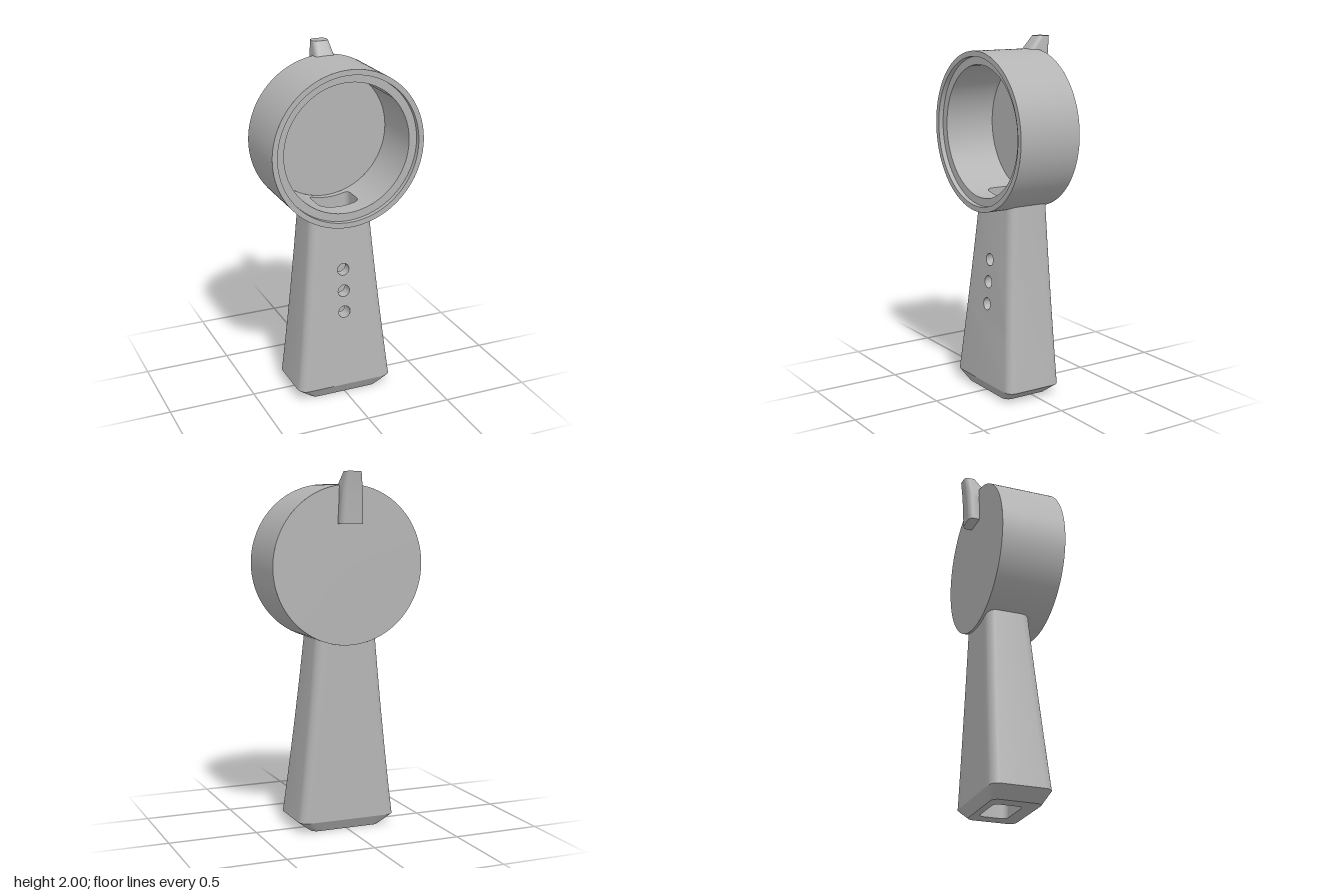
import * as THREE from 'three';
import { mergeGeometries, toCreasedNormals } from 'three/addons/utils/BufferGeometryUtils.js';

const CY = 1.49, R_OUT = 0.44, R_IN = 0.365;          // drum centre height and radii
const Z_BACK = -0.145, Z_FLOOR = -0.105, Z_STEP = 0.2, Z_FRONT = 0.228;
const DUCT = { hw: 0.12, z0: -0.07, z1: 0.09, r: 0.03 }; // hollow running up the handle
const HOLES = [0.51, 0.637, 0.765], HOLE_R = 0.035;

const V = (x, y, z) => new THREE.Vector3(x, y, z);

// Surface through rows of points
function grid(rows) {
  const n = rows[0].length, idx = [];
  for (let k = 0; k < rows.length - 1; k++)
    for (let i = 0; i < n - 1; i++) {
      const a = k * n + i, b = a + 1, c = a + n, d = c + 1;
      idx.push(a, c, b, b, c, d);
    }
  const g = new THREE.BufferGeometry().setFromPoints(rows.flat());
  g.setIndex(idx);
  return g;
}

// Rounded rectangle in x/z; starts and ends at the two front corners
function ring(hw, z0, z1, r, yAt) {
  const pts = [];
  const corners = [[-hw + r, z1 - r], [-hw + r, z0 + r], [hw - r, z0 + r], [hw - r, z1 - r]];
  corners.forEach(([cx, cz], q) => {
    for (let i = 0; i <= 6; i++) {
      const t = (q + 1 + i / 6) * Math.PI / 2;
      pts.push([cx + r * Math.cos(t), cz + r * Math.sin(t)]);
    }
    if (q === 1) for (let i = 1; i < 8; i++) pts.push([(hw - r) * (i / 4 - 1), z0]);
  });
  return pts.map(([x, z]) => V(x, yAt(x), z));
}
const closed = (p) => [...p, p[0].clone()];

// Flat cap over a ring, in the x/z plane
function cap(points, y, up, holePoints) {
  const s = new THREE.Shape(points.map((p) => new THREE.Vector2(p.x, up ? -p.z : p.z)));
  if (holePoints) s.holes.push(new THREE.Path(holePoints.map((p) => new THREE.Vector2(p.x, p.z))));
  return new THREE.ShapeGeometry(s).rotateX(up ? -Math.PI / 2 : Math.PI / 2).translate(0, y, 0);
}

// Upright plate with the three round holes, laid on the surface z = zAt(y)
function plate(outline, zAt) {
  const s = new THREE.Shape(outline.map(([x, y]) => new THREE.Vector2(x, y)));
  for (const y of HOLES) s.holes.push(new THREE.Path().absarc(0, y, HOLE_R, 0, Math.PI * 2, true));
  const g = new THREE.ShapeGeometry(s, 24), p = g.attributes.position;
  for (let i = 0; i < p.count; i++) p.setZ(i, zAt(p.getY(i)));
  return g;
}

function merged(parts, crease = 0.5) {
  const list = parts.map((g) => {
    const f = g.index ? g.toNonIndexed() : g;
    f.deleteAttribute('uv');
    f.deleteAttribute('normal');
    return f;
  });
  return toCreasedNormals(mergeGeometries(list), crease);
}

// Drum wall of radius R, pierced at the bottom by the duct
function drumWall(R, zA, zB) {
  const { hw, z0, z1, r } = DUCT, aH = Math.asin(hw / R), mid = (z0 + z1) / 2;
  const cols = [];
  for (let j = 0; j <= 24; j++) {
    const x = -hw * Math.cos(Math.PI * j / 24);
    const dx = Math.max(0, Math.abs(x) - (hw - r));
    const e = r - Math.sqrt(Math.max(0, r * r - dx * dx));
    cols.push([Math.asin(x / R), z0 + e, z1 - e]);
  }
  for (let j = 0; j <= 120; j++)
    cols.push([aH + (2 * Math.PI - 2 * aH) * j / 120, mid, mid]);
  const row = (f) => cols.map((c) => V(R * Math.sin(c[0]), CY - R * Math.cos(c[0]), f(c)));
  return [
    grid([row(() => zB), row((c) => c[2])]),
    grid([row((c) => c[1]), row(() => zA)]),
  ];
}

export function createModel() {
  const model = new THREE.Group();
  const grey = new THREE.MeshStandardMaterial({ color: 0xb4b4b4, side: THREE.DoubleSide });
  grey.name = 'plain grey';
  const add = (name, geo) => {
    const m = new THREE.Mesh(geo, grey);
    m.name = name;
    model.add(m);
  };
  const lathe = (pts) => new THREE.LatheGeometry(pts.map(([r, z]) => new THREE.Vector2(r, z)), 120)
    .rotateX(Math.PI / 2).translate(0, CY, 0);

  // Drum: outer and inner walls, stepped front rim, floor and back
  add('drumOuterWall', merged(drumWall(R_OUT, Z_BACK, Z_FRONT)));
  add('drumInnerWall', merged(drumWall(R_IN, Z_FLOOR, Z_STEP)));
  add('drumRim', merged([lathe([[R_IN, Z_STEP], [0.41, Z_STEP], [0.41, Z_FRONT], [R_OUT, Z_FRONT]])]));
  add('drumFloor', new THREE.CircleGeometry(R_IN, 120).translate(0, CY, Z_FLOOR));
  add('drumBack', new THREE.CircleGeometry(R_OUT, 120).rotateY(Math.PI).translate(0, CY, Z_BACK));

  // Handle shell: flared sides, sloping front with holes, chamfered foot
  const Y0 = 0.06, Y1 = 1.1, RC = 0.05, STEPS = 12;
  const frontZ = (y) => 0.2 - (y - Y0) * 0.078;
  const halfW = (t) => 0.285 - 0.125 * t + 0.02 * t * t;
  const rows = [], left = [], right = [];
  for (let k = 0; k <= STEPS; k++) {
    const t = k / STEPS, y = Y0 + (Y1 - Y0) * t, hw = halfW(t);
    rows.push(ring(hw, -0.145 + 0.015 * t, frontZ(y), RC, () => y));
    left.unshift([-hw + RC, y]);
    right.push([hw - RC, y]);
  }
  const foot = ring(0.206, -0.11, 0.17, 0.04, () => 0);
  const duct0 = ring(DUCT.hw, DUCT.z0, DUCT.z1, DUCT.r, () => 0);
  add('handle', merged([
    grid(rows),
    plate([...right, ...left], frontZ),
    grid([closed(foot), closed(rows[0])]),
    cap(foot, 0, false, duct0),
  ]));

  // Hollow inside the handle, open at the foot and into the drum
  const meetY = (x) => CY - Math.sqrt(R_IN * R_IN - x * x);
  const topEdge = [], fx = DUCT.hw - DUCT.r;
  for (let i = 0; i <= 8; i++) {
    const x = fx * (1 - i / 4);
    topEdge.push([x, meetY(x)]);
  }
  const inside = (g) => {
    const ix = g.index.array;
    for (let i = 0; i < ix.length; i += 3) [ix[i], ix[i + 1]] = [ix[i + 1], ix[i]];
    return g;
  };
  add('handleHollow', merged([
    inside(grid([duct0, ring(DUCT.hw, DUCT.z0, DUCT.z1, DUCT.r, meetY)])),
    inside(plate([[-fx, 0], [fx, 0], ...topEdge], () => DUCT.z1)),
  ]));

  // Bores of the three front holes
  for (const y of HOLES) {
    const outer = [], inner = [];
    for (let i = 0; i <= 24; i++) {
      const t = i / 24 * Math.PI * 2;
      const px = HOLE_R * Math.cos(t), py = y + HOLE_R * Math.sin(t);
      outer.push(V(px, py, frontZ(py)));
      inner.push(V(px, py, DUCT.z1));
    }
    add('frontHole', merged([grid([outer, inner])]));
  }

  // Hook on the upper back: [y, half width, back z, front z, corner radius]
  const hook = [
    [1.717, 0.068, -0.205, -0.125, 0.03],
    [1.88, 0.06, -0.215, -0.125, 0.03],
    [1.89, 0.059, -0.216, -0.092, 0.03],
    [1.922, 0.057, -0.219, -0.092, 0.03],
    [2.0, 0.045, -0.23, -0.157, 0.025],
  ].map(([y, hw, z0, z1, r]) => ring(hw, z0, z1, r, () => y));
  add('hook', merged([
    grid(hook.map(closed)),
    cap(hook[0], 1.717, false),
    cap(hook[4], 2.0, true),
  ]));

  return model;
}
